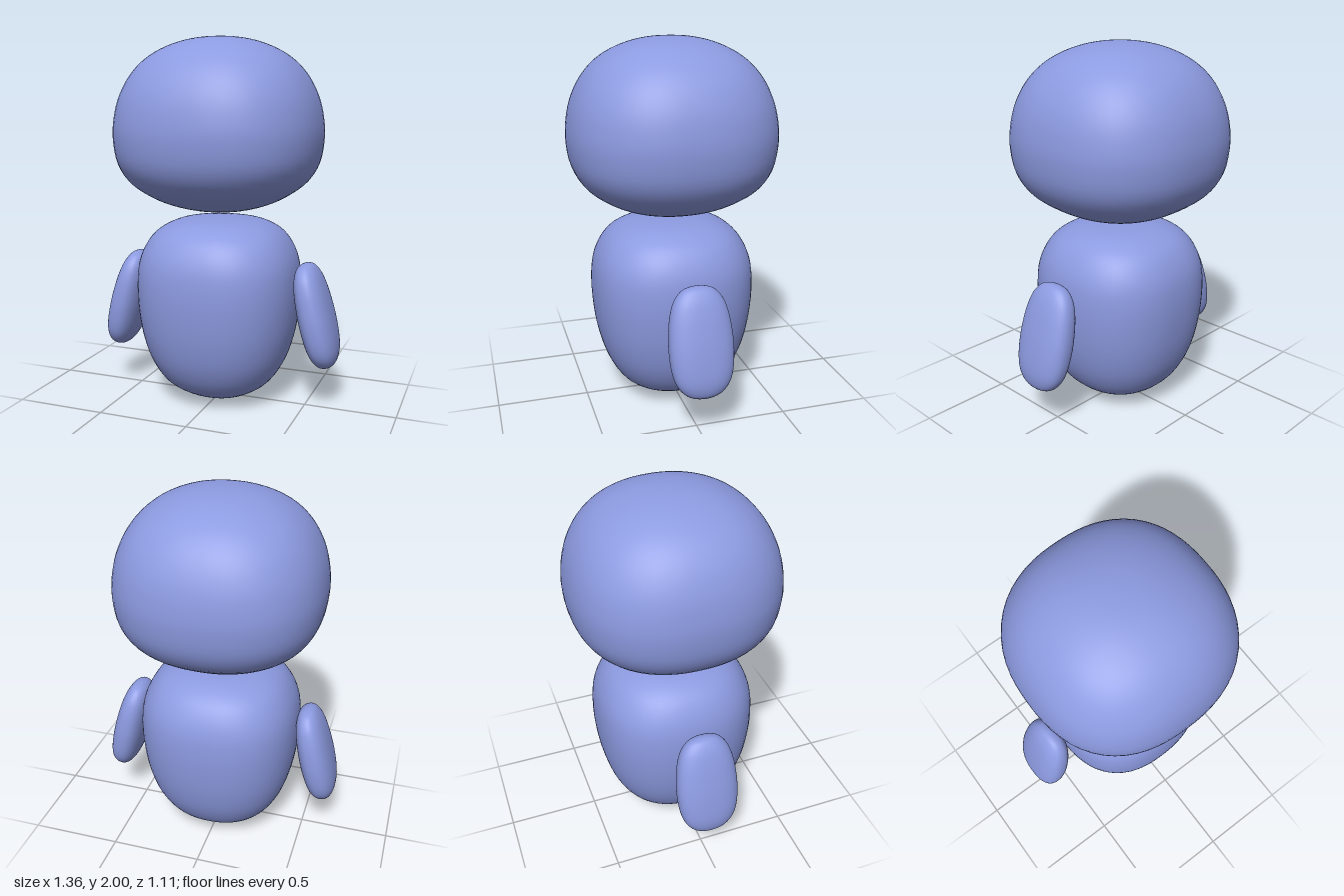
import * as THREE from 'three';
import { mergeVertices } from 'three/addons/utils/BufferGeometryUtils.js';

const material = new THREE.MeshStandardMaterial({ color: 0x8c9ae0 });

// Smooth lathe whose round sections are pushed towards a soft square.
function softForm(profile, squareness, scaleX = 1, scaleZ = 1) {
  const curve = new THREE.SplineCurve(profile.map(([r, y]) => new THREE.Vector2(r, y)));
  const points = curve.getPoints(48);
  points.forEach((p) => { p.x = Math.max(p.x, 0); });
  points[0].x = points[points.length - 1].x = 0;
  const rMax = Math.max(...points.map((p) => p.x));

  let geometry = new THREE.LatheGeometry(points, 64);
  const pos = geometry.attributes.position;
  for (let i = 0; i < pos.count; i++) {
    const x = pos.getX(i), z = pos.getZ(i), r = Math.hypot(x, z);
    if (r < 1e-6) continue;
    const n = 2 + squareness * r / rMax; // rounder towards the poles
    const k = Math.pow(Math.pow(Math.abs(x / r), n) + Math.pow(Math.abs(z / r), n), -1 / n);
    pos.setX(i, x * k * scaleX);
    pos.setZ(i, z * k * scaleZ);
  }
  geometry.deleteAttribute('uv');
  geometry.deleteAttribute('normal');
  geometry = mergeVertices(geometry, 1e-5);
  geometry.computeVertexNormals();
  return geometry;
}

function addPart(parent, name, geometry) {
  const mesh = new THREE.Mesh(geometry, material);
  mesh.name = name;
  parent.add(mesh);
  return mesh;
}

export function createModel() {
  const model = new THREE.Group();
  model.name = 'figure';

  // Big head, full domed crown and flatter underneath
  addPart(model, 'head', softForm([
    [0, 1.057], [0.14, 1.069], [0.275, 1.104], [0.38, 1.154], [0.476, 1.228], [0.535, 1.33],
    [0.556, 1.46], [0.55, 1.57], [0.525, 1.678], [0.477, 1.78], [0.41, 1.863], [0.325, 1.925],
    [0.22, 1.97], [0.11, 1.994], [0, 2],
  ], 0.36));

  // Body, broad shoulders tapering to a rounded base
  addPart(model, 'body', softForm([
    [0, 0], [0.1, 0.011], [0.2, 0.047], [0.3, 0.118], [0.37, 0.23], [0.412, 0.36], [0.435, 0.5],
    [0.443, 0.65], [0.432, 0.78], [0.395, 0.88], [0.335, 0.955], [0.24, 1.005], [0.12, 1.025], [0, 1.03],
  ], 0.38));

  // Flat paddle arms, leaning outwards at the bottom
  const armGeometry = softForm([
    [0, -0.292], [0.3, -0.284], [0.58, -0.262], [0.82, -0.212], [0.95, -0.14], [1, -0.04],
    [0.98, 0.05], [0.91, 0.14], [0.77, 0.215], [0.54, 0.266], [0.28, 0.286], [0, 0.292],
  ], 0.45, 0.09, 0.17);
  for (const [name, side] of [['leftArm', 1], ['rightArm', -1]]) {
    const arm = addPart(model, name, armGeometry);
    arm.position.set(side * 0.557, 0.517, 0);
    arm.rotation.z = side * 0.245;
  }

  return model;
}
